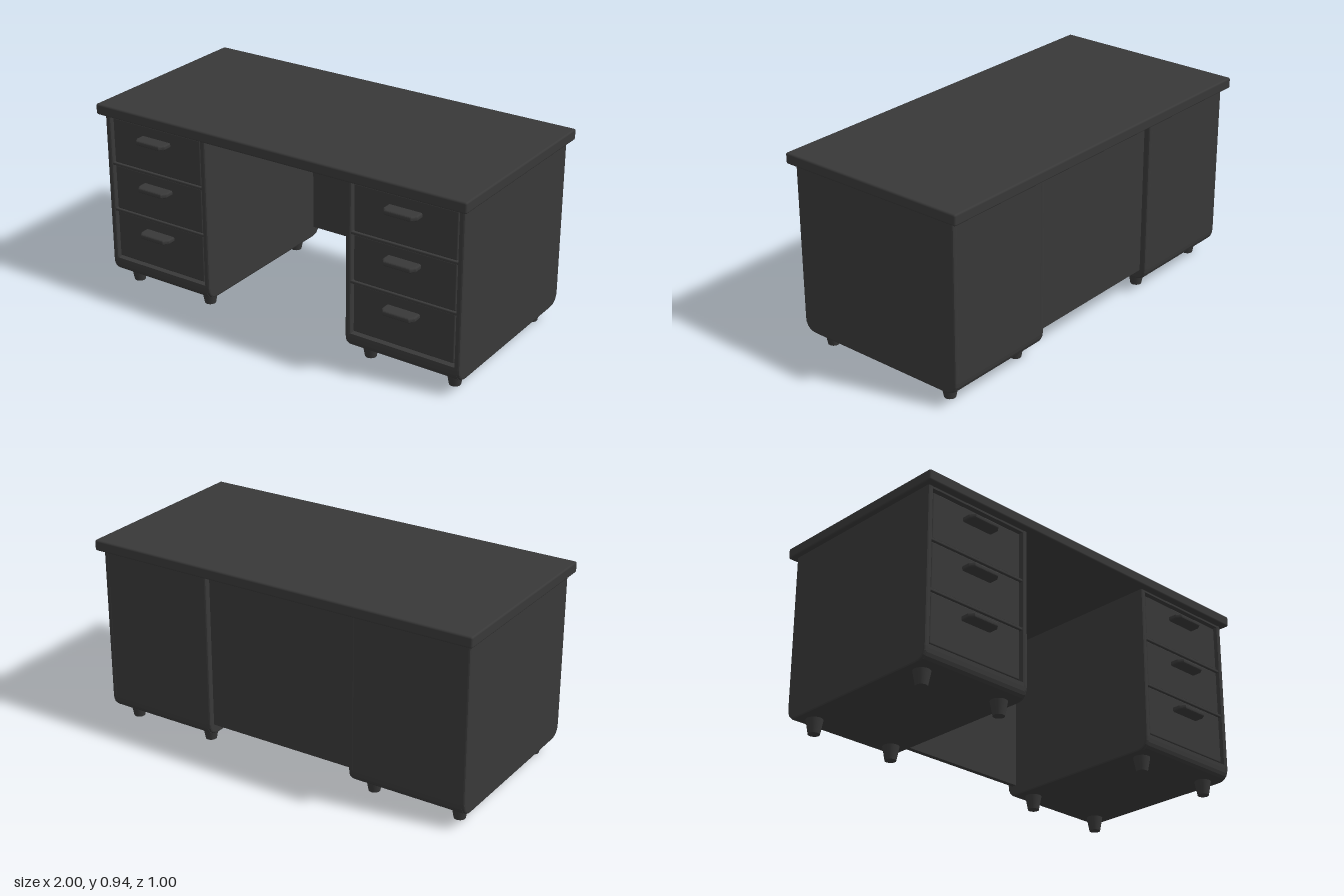
import * as THREE from 'three';
import { RoundedBoxGeometry } from 'three/addons/geometries/RoundedBoxGeometry.js';

const material = new THREE.MeshStandardMaterial({ color: 0x383838 });

function add(parent, name, geometry, x = 0, y = 0, z = 0) {
  const mesh = new THREE.Mesh(geometry, material);
  mesh.name = name;
  mesh.position.set(x, y, z);
  parent.add(mesh);
  return mesh;
}

// Box given by its limits, with softly rounded edges
function roundedBox(parent, name, [x0, x1], [y0, y1], [z0, z1], radius) {
  const geometry = new RoundedBoxGeometry(x1 - x0, y1 - y0, z1 - z0, 2, radius);
  return add(parent, name, geometry, (x0 + x1) / 2, (y0 + y1) / 2, (z0 + z1) / 2);
}

const BOTTOM = 0.068, TOP = 0.9, FRONT = 0.45, BACK = -0.465, CORNER = 0.055;

// Side outline (z, y) with rounded lower corners; notch recesses the drawer opening
function sideOutline(inset, notch) {
  const f = FRONT - inset, b = BACK + inset, lo = BOTTOM + inset;
  const s = new THREE.Shape();
  s.moveTo(b, TOP);
  s.lineTo(b, lo + CORNER);
  s.quadraticCurveTo(b, lo, b + CORNER, lo);
  s.lineTo(f - CORNER, lo);
  s.quadraticCurveTo(f, lo, f, lo + CORNER);
  if (notch) {
    s.lineTo(f, 0.143);
    s.lineTo(0.415, 0.143);
    s.lineTo(0.415, 0.882);
    s.lineTo(f, 0.882);
  }
  s.lineTo(f, TOP);
  s.closePath();
  return s;
}

// Extrude an outline across the width, centred on x = 0
function acrossWidth(shape, width, bevel) {
  const geometry = new THREE.ExtrudeGeometry(shape, {
    depth: width - 2 * bevel, curveSegments: 5, bevelEnabled: bevel > 0,
    bevelSize: bevel, bevelThickness: bevel, bevelSegments: 2,
  });
  geometry.translate(0, 0, bevel - width / 2);
  geometry.rotateY(-Math.PI / 2);
  return geometry;
}

// Flat pull with tapered front corners
function handleGeometry() {
  const s = new THREE.Shape();
  const w = 0.077, reach = 0.075;
  s.moveTo(-w, 0);
  s.lineTo(w, 0);
  s.lineTo(w, reach - 0.018);
  s.lineTo(w - 0.014, reach);
  s.lineTo(-w + 0.014, reach);
  s.lineTo(-w, reach - 0.018);
  s.closePath();
  const geometry = new THREE.ExtrudeGeometry(s, {
    depth: 0.008, bevelSize: 0.008, bevelThickness: 0.008, bevelSegments: 3,
  });
  geometry.translate(0, 0, -0.004);
  geometry.rotateX(Math.PI / 2);
  geometry.scale(1, -1, 1);
  // the mirror flips the winding, so turn each triangle back
  const p = geometry.attributes.position;
  const a = new THREE.Vector3(), b = new THREE.Vector3();
  for (let i = 0; i < p.count; i += 3) {
    a.fromBufferAttribute(p, i + 1);
    b.fromBufferAttribute(p, i + 2);
    p.setXYZ(i + 1, b.x, b.y, b.z);
    p.setXYZ(i + 2, a.x, a.y, a.z);
  }
  geometry.computeVertexNormals();
  return geometry;
}

function createPedestal(name) {
  const pedestal = new THREE.Group();
  pedestal.name = name;

  // Cabinet body and its two side panels
  add(pedestal, 'cabinetBody', acrossWidth(sideOutline(0.001, true), 0.562, 0));
  for (const s of [-1, 1]) {
    add(pedestal, 'sidePanel', acrossWidth(sideOutline(0.008, false), 0.028, 0.008), s * 0.281);
  }

  // Three drawers with pulls
  const drawers = [[0.153, 0.393, 0.33], [0.407, 0.632, 0.57], [0.647, 0.873, 0.81]];
  const pull = handleGeometry();
  for (const [y0, y1, handleY] of drawers) {
    roundedBox(pedestal, 'drawerFront', [-0.259, 0.259], [y0, y1], [0.38, 0.438], 0.006);
    add(pedestal, 'drawerHandle', pull, 0, handleY, 0.42);
  }

  // Rails between the drawers
  for (const y of [0.4, 0.6395]) {
    roundedBox(pedestal, 'drawerRail', [-0.275, 0.275], [y - 0.007, y + 0.007], [0.39, 0.446], 0.004);
  }

  // Tapered feet
  const footGeometry = new THREE.CylinderGeometry(0.041, 0.027, 0.075, 20);
  for (const x of [-0.22, 0.22]) {
    for (const z of [0.35, -0.363]) add(pedestal, 'foot', footGeometry, x, 0.0375, z);
  }
  return pedestal;
}

export function createModel() {
  const desk = new THREE.Group();
  desk.name = 'desk';

  roundedBox(desk, 'desktop', [-1, 1], [0.892, 0.945], [-0.5, 0.485], 0.009);

  for (const [name, s] of [['leftPedestal', 1], ['rightPedestal', -1]]) {
    const pedestal = createPedestal(name);
    pedestal.position.x = s * 0.68;
    desk.add(pedestal);
  }

  // Panel closing the back of the knee space
  const panel = new THREE.BoxGeometry(0.8, 0.78, 0.025);
  add(desk, 'modestyPanel', panel, 0, 0.512, -0.423);

  return desk;
}
